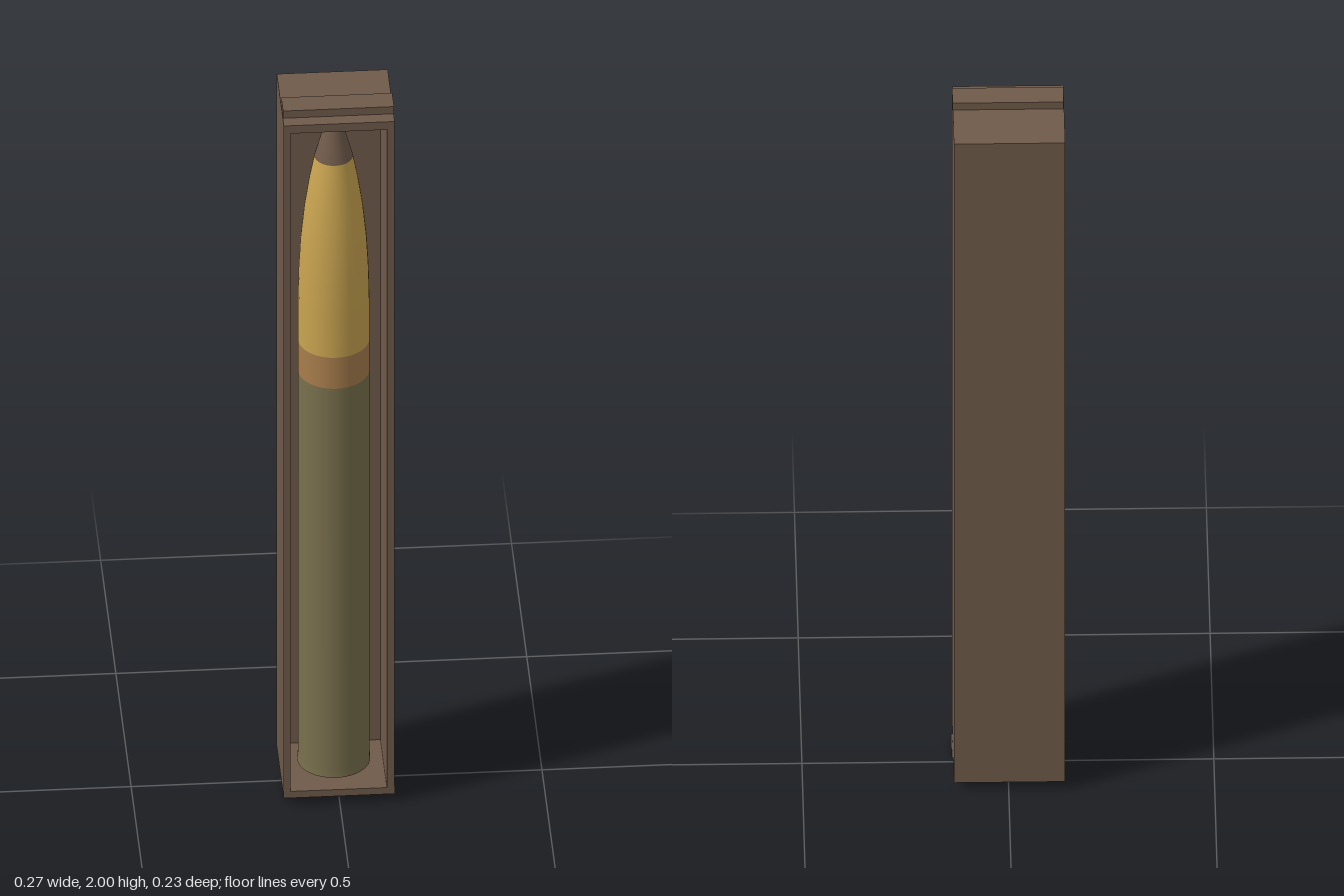
import * as THREE from 'three';

const material = (name, color) => {
  const m = new THREE.MeshStandardMaterial({ color });
  m.name = name;
  return m;
};

export function createModel() {
  const model = new THREE.Group();
  model.name = 'cratedShell';
  const wood = material('brown wood', 0x6f5a4a);
  const olive = material('olive casing', 0x79704d);
  const copper = material('copper band', 0xa87d4c);
  const yellow = material('yellow body', 0xc9a450);

  const add = (name, geometry, mat, parent = model) => {
    const mesh = new THREE.Mesh(geometry, mat);
    mesh.name = name;
    parent.add(mesh);
    return mesh;
  };
  // Box given by its min and max corners
  const box = (name, [x0, y0, z0], [x1, y1, z1]) =>
    add(name, new THREE.BoxGeometry(x1 - x0, y1 - y0, z1 - z0), wood)
      .position.set((x0 + x1) / 2, (y0 + y1) / 2, (z0 + z1) / 2);

  // Open-fronted crate: four walls around a cavity, closed by a back panel
  const rect = (path, x0, y0, x1, y1) =>
    path.moveTo(x0, y0).lineTo(x1, y0).lineTo(x1, y1).lineTo(x0, y1).closePath();
  const outline = rect(new THREE.Shape(), -0.137, 0.024, 0.133, 1.979);
  outline.holes.push(rect(new THREE.Path(), -0.12, 0.043, 0.114, 1.956));
  const walls = new THREE.ExtrudeGeometry(outline, { depth: 0.212, bevelEnabled: false });
  add('crateWalls', walls, wood).position.z = -0.097;
  box('crateBack', [-0.137, 0.024, -0.115], [0.133, 1.979, -0.097]);

  // Battens across the two ends
  box('topBatten', [-0.136, 1.979, 0.021], [0.134, 2, 0.081]);
  box('bottomBatten', [-0.134, 0, 0.016], [0.137, 0.024, 0.08]);

  // Shell: lathed sections stacked on one axis
  const shell = new THREE.Group();
  shell.name = 'shell';
  shell.position.x = -0.007;
  model.add(shell);
  const lathe = (name, mat, points) =>
    add(name, new THREE.LatheGeometry(points.map(([r, y]) => new THREE.Vector2(r, y)), 32), mat, shell);

  lathe('casingBase', olive, [[0, 0.06], [0.089, 0.06]]);
  lathe('casing', olive, [[0.089, 0.06], [0.087, 0.085], [0.087, 1.19]]);
  lathe('driveBand', copper, [[0.087, 1.19], [0.087, 1.28]]);
  lathe('shellBody', yellow, [
    [0.087, 1.28], [0.087, 1.4], [0.085, 1.49], [0.08, 1.58],
    [0.071, 1.67], [0.059, 1.75], [0.047, 1.812],
  ]);
  lathe('fuse', wood, [[0.047, 1.812], [0.03, 1.875], [0.013, 1.93], [0.007, 1.941], [0, 1.943]]);

  return model;
}
